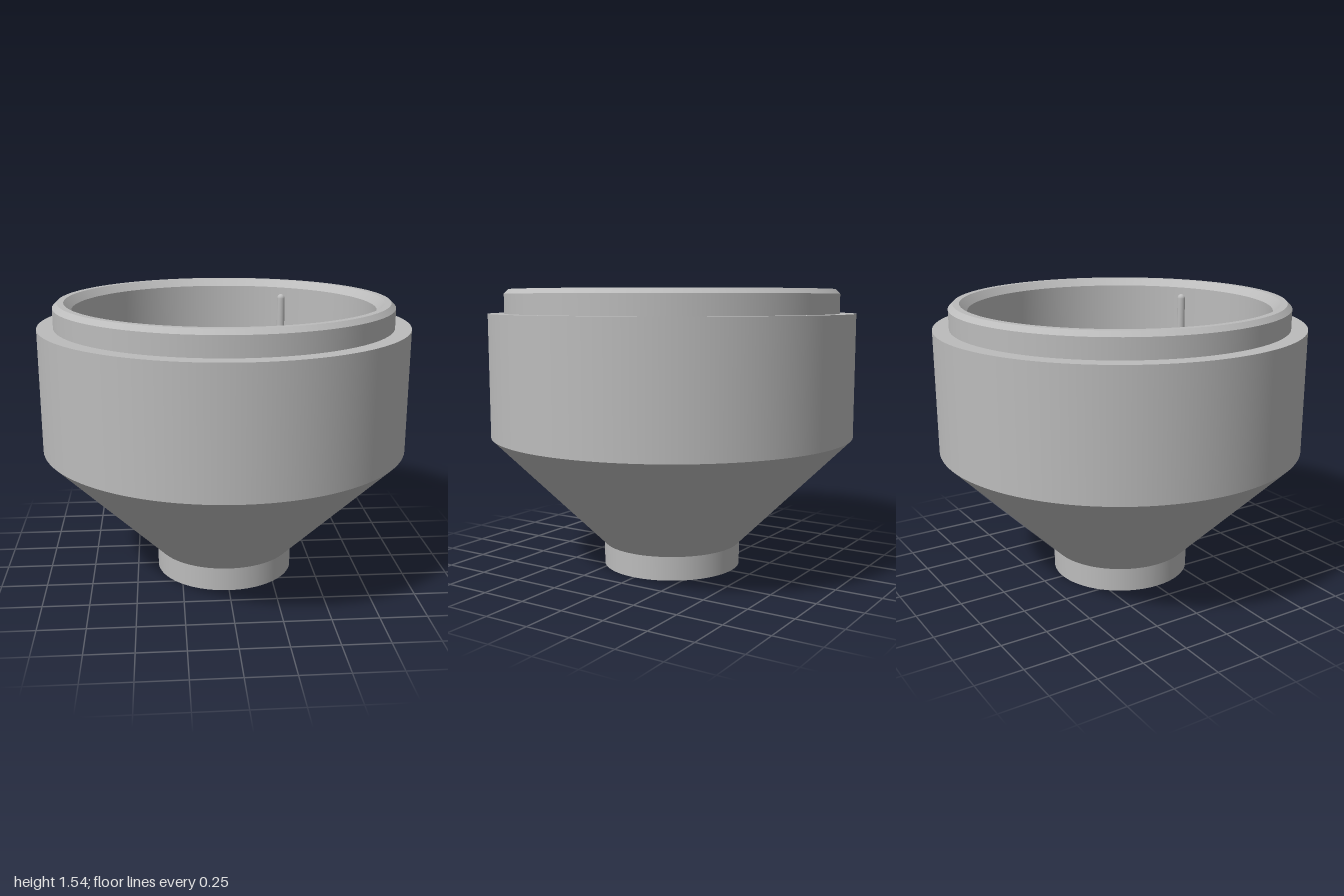
import * as THREE from 'three';
import { mergeGeometries } from 'three/addons/utils/BufferGeometryUtils.js';

const SEGMENTS = 128;

// Revolves a profile one band at a time, so every corner stays sharp.
function turned(name, profile, material) {
  const bands = [];
  for (let i = 0; i < profile.length - 1; i++) {
    const ends = [profile[i], profile[i + 1]].map(([r, y]) => new THREE.Vector2(r, y));
    bands.push(new THREE.LatheGeometry(ends, SEGMENTS));
  }
  const mesh = new THREE.Mesh(mergeGeometries(bands), material);
  mesh.name = name;
  return mesh;
}

// Three round-ended ribs, half sunk into a cylindrical wall.
function ribs(name, wallRadius, ribRadius, bottom, top, startAngle, material) {
  const group = new THREE.Group();
  group.name = name;
  const geometry = new THREE.CapsuleGeometry(ribRadius, top - bottom - 2 * ribRadius, 8, 20);
  for (let i = 0; i < 3; i++) {
    const angle = startAngle + (i * Math.PI * 2) / 3;
    const rib = new THREE.Mesh(geometry, material);
    rib.name = 'rib';
    rib.position.set(Math.cos(angle) * wallRadius, (bottom + top) / 2, Math.sin(angle) * wallRadius);
    group.add(rib);
  }
  return group;
}

export function createModel() {
  const model = new THREE.Group();
  model.name = 'funnelCup';
  const grey = new THREE.MeshStandardMaterial({ color: 0xbcbcbc });
  grey.name = 'plain grey';

  const floorY = 0.7;
  const socketTop = 0.45;

  // Blind socket with a flared mouth underneath
  model.add(turned('socket', [
    [0, socketTop], [0.18, socketTop], [0.18, 0.08], [0.265, 0],
  ], grey));

  // Neck, cone, wide wall and stepped collar
  model.add(turned('outerBody', [
    [0.265, 0], [0.383, 0], [0.383, 0.13], [1, 0.745], [1, 1.41], [0.913, 1.41],
  ], grey));

  // Rim, chamfered on both edges
  model.add(turned('rim', [
    [0.913, 1.41], [0.913, 1.515], [0.888, 1.54], [0.853, 1.54], [0.813, 1.5],
  ], grey));

  // Cup wall and flat floor
  model.add(turned('cupInterior', [
    [0.813, 1.5], [0.813, floorY], [0, floorY],
  ], grey));

  // Grip ribs in the cup and in the socket
  model.add(ribs('cupRibs', 0.815, 0.025, floorY - 0.03, 1.46, Math.PI, grey));
  model.add(ribs('socketRibs', 0.182, 0.018, 0.1, socketTop + 0.02, 0, grey));

  return model;
}
